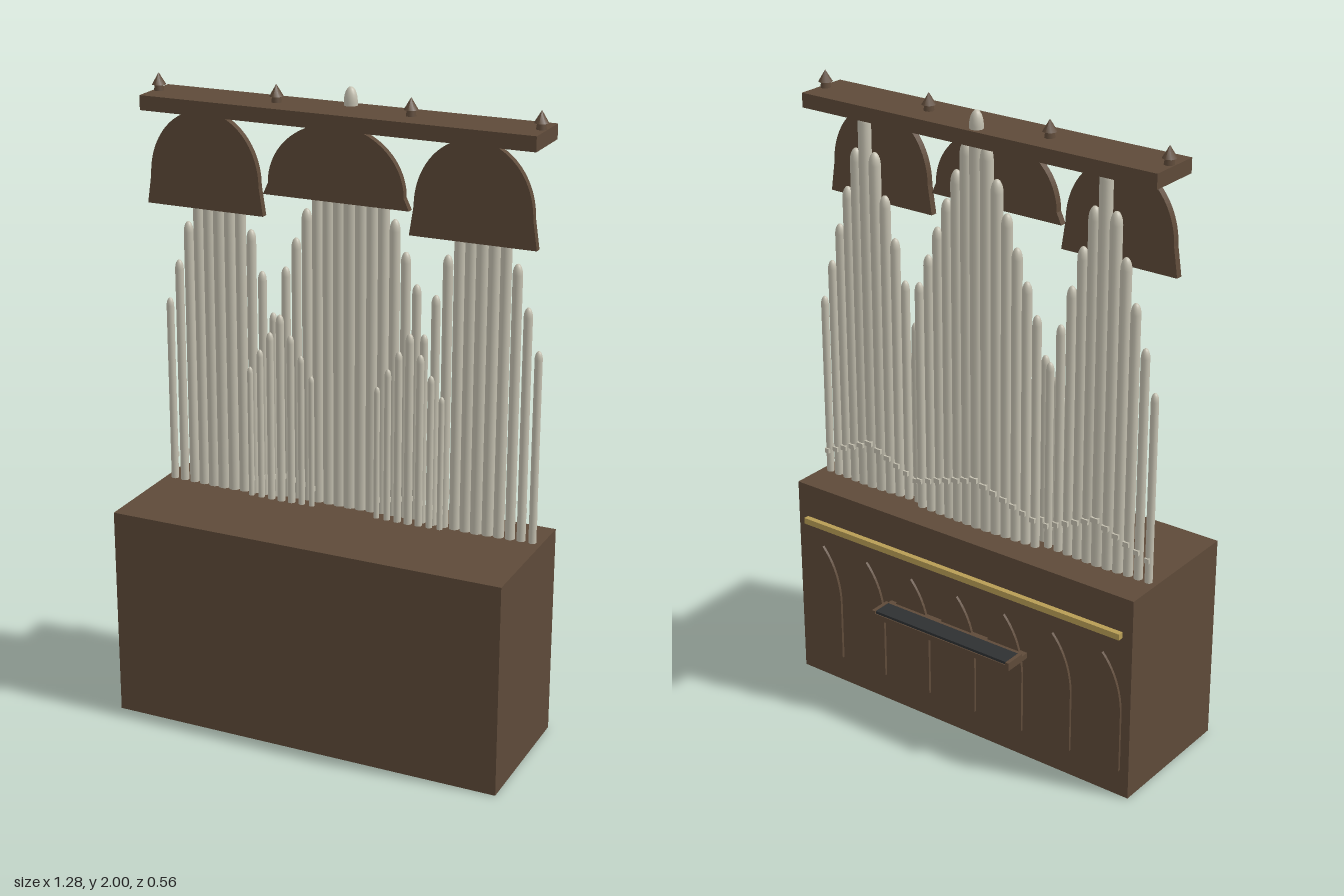
import * as THREE from 'three';

const mat = (name, color) => {
  const m = new THREE.MeshStandardMaterial({ color });
  m.name = name;
  return m;
};

export function createModel() {
  const wood = mat('brown wood', 0x5e4a39);
  const tin = mat('pale pipe metal', 0xc4c0b0);
  const gold = mat('gold', 0xb89d55);
  const dark = mat('dark keys', 0x2e3032);

  const root = new THREE.Group();
  root.name = 'pipeOrgan';

  const add = (name, geo, material, x = 0, y = 0, z = 0, parent = root) => {
    const m = new THREE.Mesh(geo, material);
    m.name = name;
    m.position.set(x, y, z);
    parent.add(m);
    return m;
  };
  const box = (name, w, h, d, material, x, y, z, parent) =>
    add(name, new THREE.BoxGeometry(w, h, d), material, x, y, z, parent);

  // Main case, and the beam over the pipes
  const TOP = 0.68;
  box('case', 1.28, TOP, 0.46, wood, 0, TOP / 2, 0.046);
  box('topBeam', 1.25, 0.045, 0.173, wood, 0, 1.9225, -0.025);

  // Finials standing on the beam
  for (const x of [-0.607, -0.214, 0.214, 0.607]) {
    const finial = new THREE.Group();
    finial.name = 'finial';
    finial.position.set(x, 1.945, -0.025);
    root.add(finial);
    add('finialStem', new THREE.CylinderGeometry(0.013, 0.016, 0.02, 8), wood, 0, 0.01, 0, finial);
    add('finialCap', new THREE.ConeGeometry(0.022, 0.036, 8), wood, 0, 0.036, 0, finial);
  }

  // Domed panels hanging in front of the pipe tops
  const dome = (x, w, bottom, spring, top) => {
    const s = new THREE.Shape();
    s.moveTo(-w, bottom);
    s.lineTo(w, bottom);
    s.lineTo(w * 0.93, spring);
    s.absellipse(0, spring, w * 0.93, top - spring, 0, Math.PI, false);
    s.lineTo(-w, bottom);
    const geo = new THREE.ExtrudeGeometry(s, { depth: 0.022, bevelEnabled: false, curveSegments: 24 });
    add('domedPanel', geo, wood, x, 0, 0.008);
  };
  dome(-0.43, 0.195, 1.61, 1.70, 1.91);
  dome(0, 0.234, 1.68, 1.715, 1.91);
  dome(0.43, 0.195, 1.61, 1.70, 1.91);

  // One pipe: straight tube with a rounded cap, and a lip on the back
  const pipe = (x, z, r, top, parent) => {
    const capH = r * 2.2;
    const profile = [new THREE.Vector2(r, TOP - 0.005)];
    for (let i = 0; i <= 6; i++) {
      const a = (i / 6) * Math.PI / 2;
      profile.push(new THREE.Vector2(Math.max(r * Math.cos(a), 0), top - capH + capH * Math.sin(a)));
    }
    add('pipe', new THREE.LatheGeometry(profile, 14), tin, x, 0, z, parent);
    box('pipeLip', r * 1.3, 0.016, 0.01, tin, x, TOP + (top - TOP) * 0.125, z - r, parent);
  };

  // A rank of pipes falling away evenly on both sides of its centre
  const rank = (name, cx, z, count, gap, top, drop, rMax, rMin) => {
    const g = new THREE.Group();
    g.name = name;
    root.add(g);
    for (let i = -count; i <= count; i++) {
      const k = Math.abs(i);
      pipe(cx + i * gap, z, rMax + (rMin - rMax) * k / count, top - k * drop, g);
    }
  };
  rank('centrePipes', 0, -0.08, 6, 0.036, 2.0, 0.095, 0.021, 0.014);
  for (const s of [-1, 1]) {
    rank('sidePipes', s * 0.43, -0.06, 5, 0.036, 1.92, 0.127, 0.02, 0.012);
    rank('smallFrontPipes', s * 0.215, -0.034, 3, 0.035, 1.29, 0.061, 0.013, 0.009);
  }

  // Row of pointed arch panels on the back
  const arch = new THREE.Shape();
  arch.moveTo(-0.07, 0.09);
  arch.lineTo(0.07, 0.09);
  arch.lineTo(0.07, 0.3);
  arch.quadraticCurveTo(0.065, 0.41, 0, 0.48);
  arch.quadraticCurveTo(-0.065, 0.41, -0.07, 0.3);
  const archGeo = new THREE.ExtrudeGeometry(arch, { depth: 0.012, bevelEnabled: false, curveSegments: 10 });
  for (let i = -3; i <= 3; i++) add('archPanel', archGeo, wood, i * 0.18, 0, -0.193);

  // Gold moulding above the arches
  box('goldMoulding', 1.21, 0.02, 0.018, gold, 0, 0.557, -0.193);

  // Keyboard shelf with a rim, and the keys lying on it
  box('keyboardShelf', 0.53, 0.018, 0.098, wood, 0, 0.364, -0.231);
  for (const s of [-1, 1]) box('keyboardCheek', 0.012, 0.01, 0.07, wood, s * 0.259, 0.377, -0.245);
  box('keys', 0.504, 0.009, 0.062, dark, 0, 0.377, -0.246);

  return root;
}
